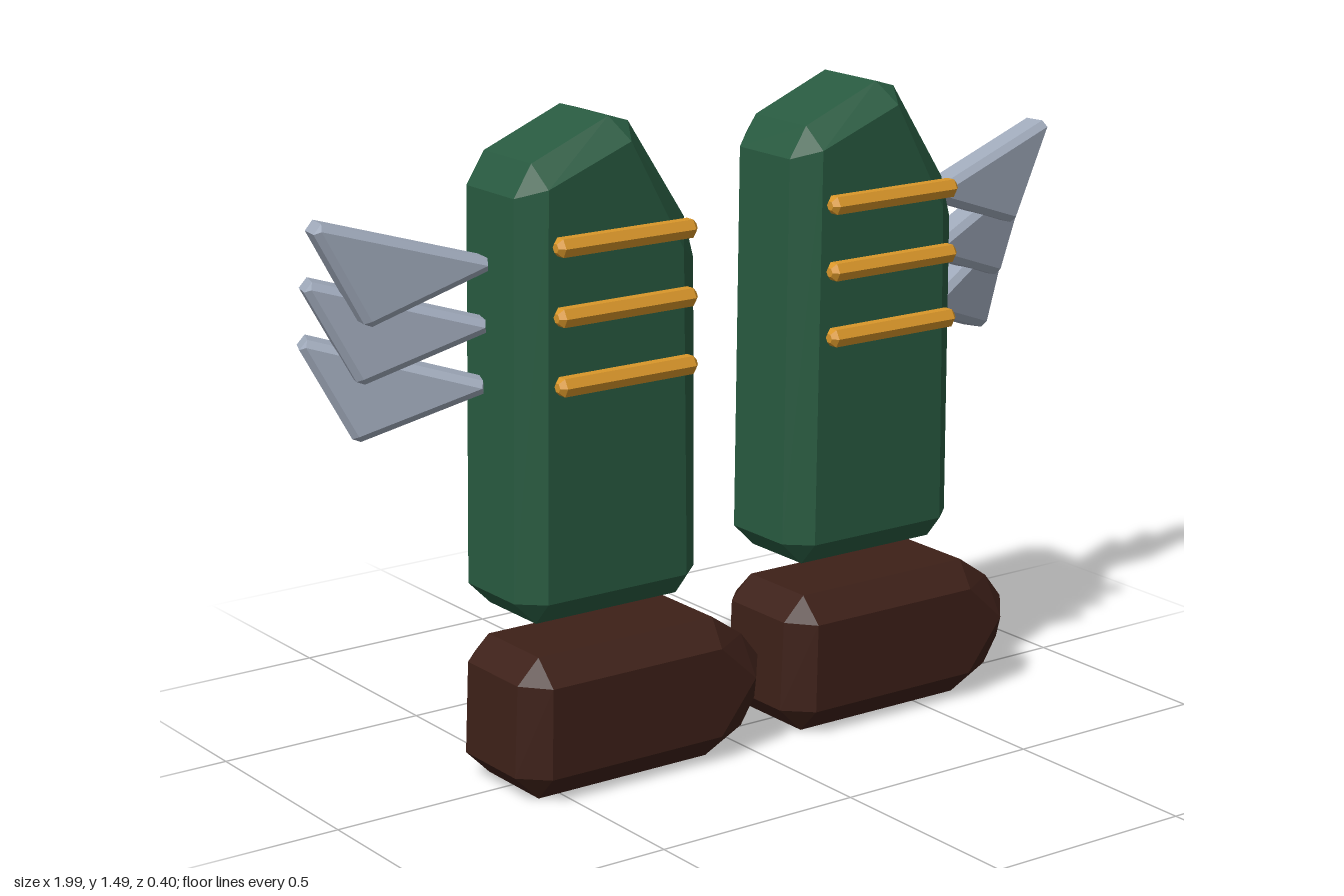
import * as THREE from 'three';
import { ConvexGeometry } from 'three/addons/geometries/ConvexGeometry.js';

const paint = (color) => new THREE.MeshStandardMaterial({ color, flatShading: true });
const green = paint(0x285a40), brown = paint(0x3d2018), gold = paint(0xd9962a), silver = paint(0xa0aabb);

// Chamfered slab: a narrow outer ring around the middle, smaller faces front and back
function slab(face, ring, faceZ, ringZ) {
  const points = [];
  for (const s of [-1, 1]) {
    for (const [x, y] of face) points.push(new THREE.Vector3(x, y, s * faceZ));
    for (const [x, y] of ring) points.push(new THREE.Vector3(x, y, s * ringZ));
  }
  return new ConvexGeometry(points);
}

// Push every edge of a counter-clockwise outline outward by w
function edgeRing(face, w) {
  return face.flatMap(([ax, ay], i) => {
    const [bx, by] = face[(i + 1) % face.length];
    const len = Math.hypot(bx - ax, by - ay);
    const nx = (by - ay) / len * w, ny = (ax - bx) / len * w;
    return [[ax + nx, ay + ny], [bx + nx, by + ny]];
  });
}

function add(parent, name, geometry, material, x = 0, y = 0, z = 0) {
  const mesh = new THREE.Mesh(geometry, material);
  mesh.name = name;
  mesh.position.set(x, y, z);
  parent.add(mesh);
  return mesh;
}

export function createModel() {
  const model = new THREE.Group();
  model.name = 'wingedBoots';

  // Shaft with a slanted top
  const shaft = slab(
    [[-0.55, 0.455], [-0.185, 0.455], [-0.19, 1.19], [-0.325, 1.44], [-0.535, 1.36]],
    [[-0.55, 0.40], [-0.18, 0.40], [-0.13, 0.455], [-0.13, 1.155], [-0.155, 1.25],
      [-0.30, 1.475], [-0.35, 1.49], [-0.545, 1.41], [-0.59, 1.34], [-0.605, 0.455]],
    0.142, 0.092);

  // Foot with the toe towards +x
  const foot = slab(
    [[-0.555, 0.06], [-0.1, 0.06], [-0.005, 0.18], [-0.1, 0.268], [-0.55, 0.268]],
    [[-0.555, 0], [-0.105, 0], [-0.005, 0.05], [0.033, 0.11], [0.042, 0.21],
      [-0.005, 0.27], [-0.085, 0.325], [-0.55, 0.325], [-0.605, 0.27], [-0.615, 0.06]],
    0.158, 0.1);

  // Six-sided bar with chamfered ends, lying along x
  const bar = new THREE.LatheGeometry(
    [[0, -0.178], [0.011, -0.178], [0.023, -0.166], [0.023, 0.166], [0.011, 0.178], [0, 0.178]]
      .map(([r, y]) => new THREE.Vector2(r, y)), 6);
  bar.rotateZ(Math.PI / 2);

  // Wedge feather, fanned backwards
  const featherFace = [[0.015, 0], [0.28, -0.09], [0.386, 0.111]];
  const feathers = [
    { y: 1.19, z: 0, turn: 0.14 },
    { y: 1.055, z: -0.005, turn: 0.29 },
    { y: 0.92, z: -0.013, turn: 0.40 },
  ];

  for (const [side, shift] of [[-1, 0], [1, 0.722]]) {
    const boot = new THREE.Group();
    boot.name = side > 0 ? 'leftBoot' : 'rightBoot';
    model.add(boot);
    add(boot, 'shaft', shaft, green, shift, 0, 0.003);
    add(boot, 'foot', foot, brown, shift, 0, 0.003);
    for (const y of [1.245, 1.095, 0.945]) add(boot, 'bar', bar, gold, shift - 0.367, y, 0.183);

    const wing = new THREE.Group();
    wing.name = 'wing';
    boot.add(wing);
    const mirror = (pts) => pts.map(([x, y]) => [x * side, y]);
    const feather = slab(mirror(featherFace), mirror(edgeRing(featherFace, 0.015)), 0.037, 0.024);
    for (const { y, z, turn } of feathers) {
      add(wing, 'feather', feather, silver, side * 0.597, y, z).rotation.y = side * turn;
    }
  }
  return model;
}
